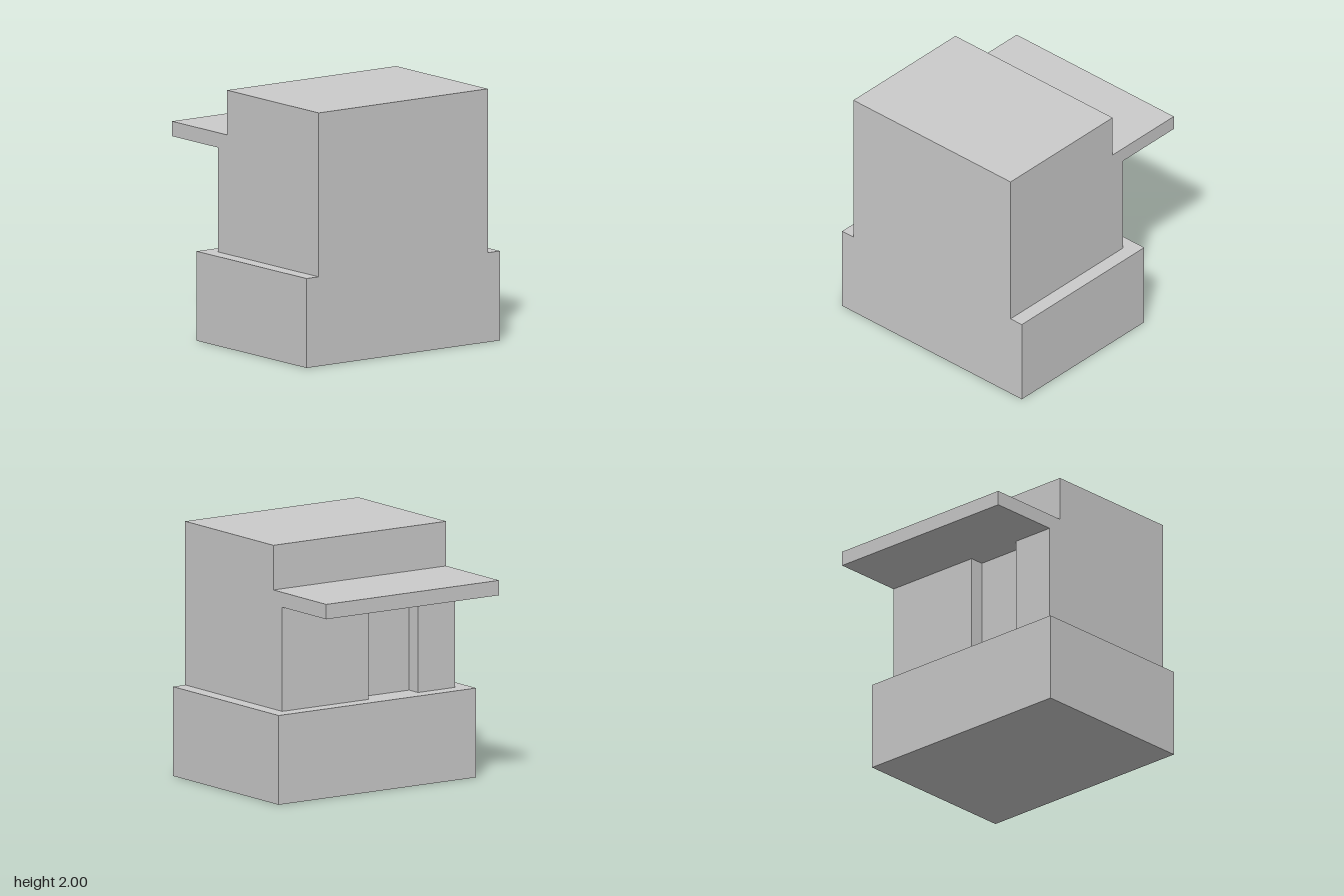
import * as THREE from 'three';

const U = 2 / 17; // design unit: the whole model is 17 units high

export function createModel() {
  const group = new THREE.Group();
  const material = new THREE.MeshStandardMaterial({ color: 0xcccccc, flatShading: true });

  const add = (name, geometry) => {
    geometry.scale(U, U, U);
    const mesh = new THREE.Mesh(geometry, material);
    mesh.name = name;
    group.add(mesh);
  };
  const extrude = (points, depth) => new THREE.ExtrudeGeometry(
    new THREE.Shape(points.map(([x, y]) => new THREE.Vector2(x, y))),
    { depth, bevelEnabled: false });

  // Plinth under the building
  add('plinth', new THREE.BoxGeometry(12, 6, 16).translate(2, 3, 0));

  // Walls: floor plan (x, -z) with a shallow doorway recess in the -x side
  const plan = [[-3, -7], [8, -7], [8, 7], [-3, 7], [-3, 0], [-2, 0], [-2, -4], [-3, -4]];
  add('walls', extrude(plan, 7).rotateX(-Math.PI / 2).translate(0, 6, 0));

  // Upper storey with the canopy projecting over the doorway
  const profile = [[-8, 13], [8, 13], [8, 17], [-2, 17], [-2, 14], [-8, 14]];
  add('upperStoreyAndCanopy', extrude(profile, 14).translate(0, 0, -7));

  return group;
}
